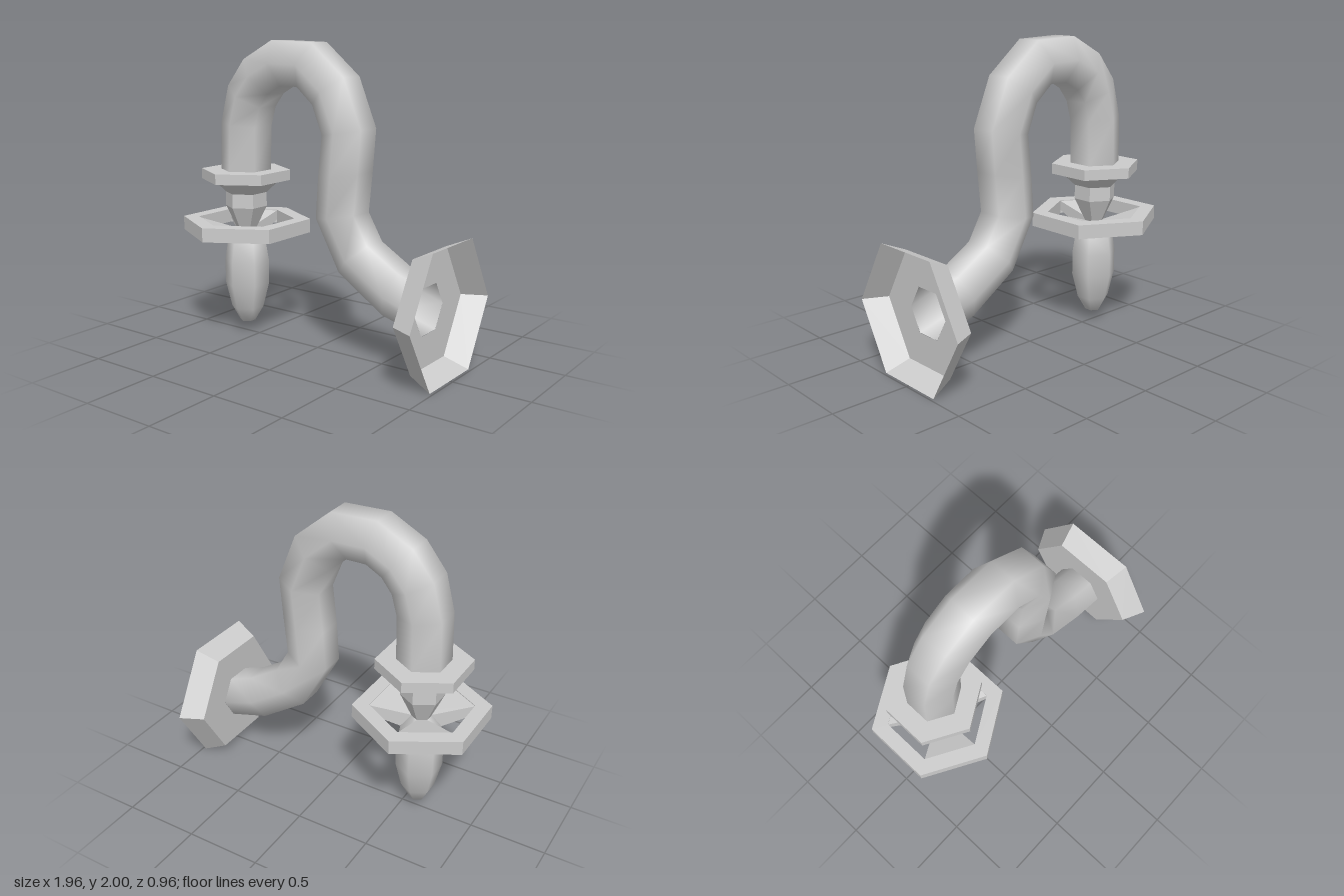
import * as THREE from 'three';
import { ConvexGeometry } from 'three/addons/geometries/ConvexGeometry.js';

const SIDES = 6;
const smooth = new THREE.MeshStandardMaterial({ color: 0xcccccc, side: THREE.DoubleSide });
const flat = new THREE.MeshStandardMaterial({ color: 0xcccccc, side: THREE.DoubleSide, flatShading: true });

function addMesh(parent, name, geometry, material) {
  const mesh = new THREE.Mesh(geometry, material);
  mesh.name = name;
  parent.add(mesh);
  return mesh;
}

// Six-sided turned shape from [radius, height] pairs, listed upwards
function turned(profile) {
  return new THREE.LatheGeometry(profile.map(([r, y]) => new THREE.Vector2(r, y)), SIDES);
}

// Hexagonal tube lofted through [outerX, outerY, innerX, innerY] mitre lines
function hexTube(mitres, r) {
  const positions = [], index = [];
  for (const [ox, oy, ix, iy] of mitres) {
    const cx = (ox + ix) / 2, cy = (oy + iy) / 2;
    positions.push(
      ox, oy, r / 2, ox, oy, -r / 2, cx, cy, -r,
      ix, iy, -r / 2, ix, iy, r / 2, cx, cy, r);
  }
  for (let i = 0; i < mitres.length - 1; i++) {
    for (let j = 0; j < SIDES; j++) {
      const a = i * SIDES + j, b = i * SIDES + (j + 1) % SIDES;
      index.push(a, a + SIDES, b, b, a + SIDES, b + SIDES);
    }
  }
  const geometry = new THREE.BufferGeometry();
  geometry.setAttribute('position', new THREE.Float32BufferAttribute(positions, 3));
  geometry.setIndex(index);
  geometry.computeVertexNormals();
  return geometry;
}

// Solid wedge filling one sixth of the hexagon, centred on +x
function spokeGeometry() {
  const points = [];
  for (const [r, y] of [[0.33, 0.8], [0.06, 0.73], [0.33, 0.735], [0.13, 0.646]]) {
    for (const s of [-1, 1]) {
      points.push(new THREE.Vector3(r * Math.cos(Math.PI / 6), y, s * r / 2));
    }
  }
  return new ConvexGeometry(points);
}

export function createModel() {
  const model = new THREE.Group();
  model.name = 'wallHook';

  // Curved arm
  addMesh(model, 'curvedArm', hexTube([
    [-0.75, 1.14, -0.455, 1.14],
    [-0.74, 1.46, -0.447, 1.434],
    [-0.675, 1.703, -0.41, 1.566],
    [-0.537, 1.878, -0.34, 1.656],
    [-0.304, 2.0, -0.235, 1.714],
    [0.008, 1.99, -0.103, 1.714],
    [0.257, 1.783, 0.019, 1.608],
    [0.384, 1.47, 0.093, 1.423],
    [0.362, 1.2, 0.066, 1.16],
    [0.336, 0.942, 0.048, 0.894],
    [0.437, 0.767, 0.225, 0.571],
    [0.659, 0.63, 0.548, 0.354],
    [0.827, 0.567, 0.827, 0.272],
  ], 0.17), smooth);

  // Open, flared wall plate with a hole where the arm meets it
  const plate = addMesh(model, 'wallPlate',
    turned([[0.17, 0.827], [0.407, 0.827], [0.48, 0.98]]), flat);
  plate.rotation.z = -Math.PI / 2;
  plate.position.y = 0.418;

  // Hanging end, turned about its own axis
  const hanger = new THREE.Group();
  hanger.name = 'hangingEnd';
  hanger.position.x = -0.605;
  model.add(hanger);

  addMesh(hanger, 'collar', turned([
    [0, 1.07], [0.303, 1.07], [0.303, 1.14], [0, 1.14],
  ]), flat);
  addMesh(hanger, 'stem', turned([
    [0.05, 0.7], [0.141, 0.889], [0.141, 0.984], [0.232, 1.07],
  ]), flat);
  addMesh(hanger, 'wheelRim', turned([
    [0.33, 0.712], [0.437, 0.712], [0.437, 0.805], [0.33, 0.805], [0.33, 0.712],
  ]), flat);

  // Three wedge spokes on alternate sides of the rim
  for (let i = 0; i < 3; i++) {
    const spoke = addMesh(hanger, 'spoke', spokeGeometry(), flat);
    spoke.rotation.y = i * Math.PI * 2 / 3;
  }

  addMesh(hanger, 'bulb', turned([
    [0, 0.08], [0.052, 0.08], [0.11, 0.18], [0.152, 0.35],
    [0.152, 0.51], [0.13, 0.646], [0.055, 0.74],
  ]), smooth);

  return model;
}
